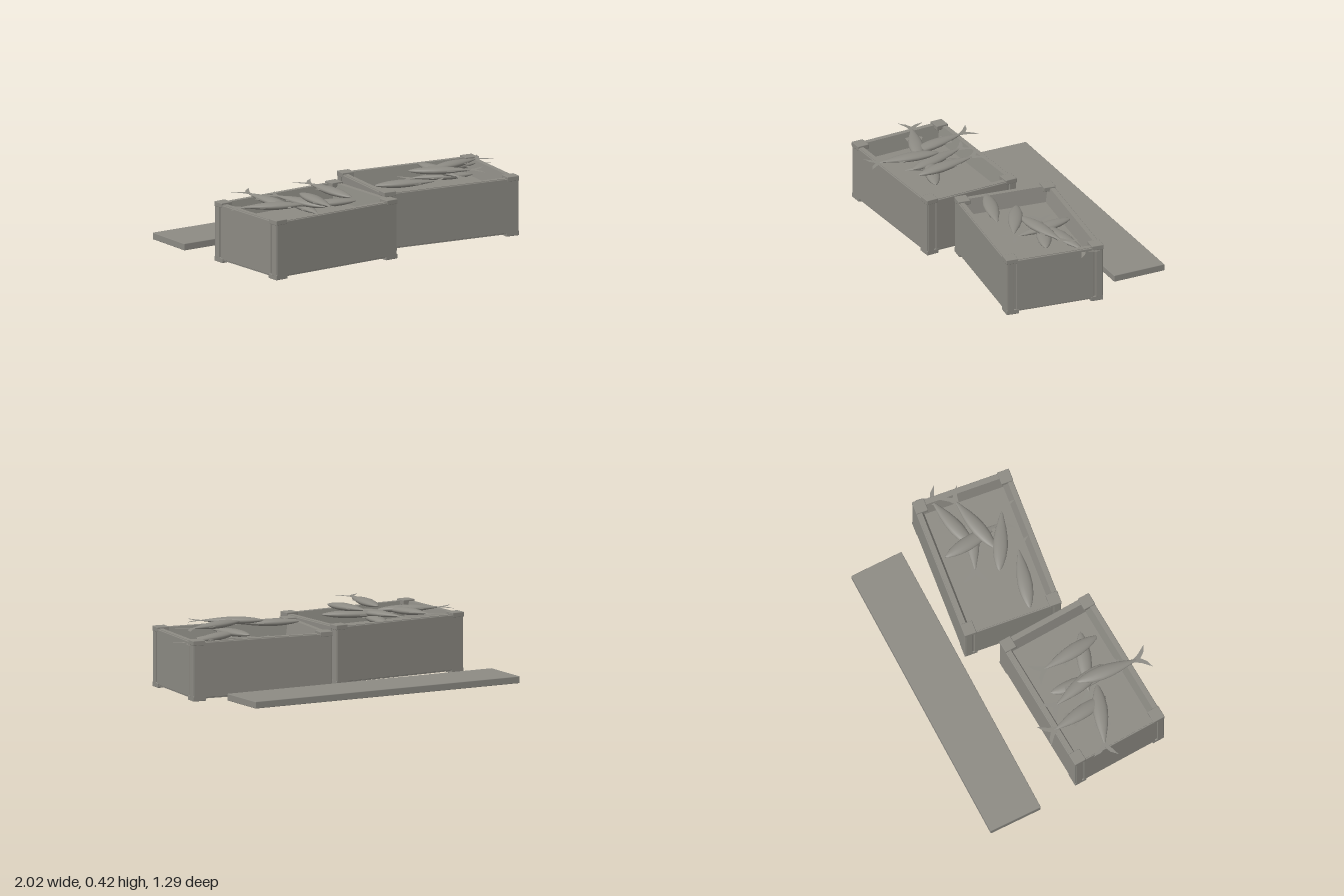
import * as THREE from 'three';
import { RoundedBoxGeometry } from 'three/addons/geometries/RoundedBoxGeometry.js';

const wood = new THREE.MeshStandardMaterial({ color: 0x8c8a83 });
wood.name = 'weathered grey';
const fishSkin = new THREE.MeshStandardMaterial({ color: 0x8c8a83, side: THREE.DoubleSide });
fishSkin.name = 'fish grey';

function block(parent, name, w, h, d, x, y, z, bevel = 0.004) {
  const mesh = new THREE.Mesh(new RoundedBoxGeometry(w, h, d, 1, bevel), wood);
  mesh.name = name;
  mesh.position.set(x, y, z);
  parent.add(mesh);
}

// Skin of stacked rectangles [halfX, y, halfZ], with flat faces.
function rectLoops(loops) {
  const pos = [];
  const corner = ([hx, y, hz], i) => [[hx, y, hz], [hx, y, -hz], [-hx, y, -hz], [-hx, y, hz]][i % 4];
  for (let k = 0; k < loops.length - 1; k++) {
    for (let i = 0; i < 4; i++) {
      const a = corner(loops[k], i), b = corner(loops[k], i + 1);
      const c = corner(loops[k + 1], i + 1), d = corner(loops[k + 1], i);
      pos.push(...a, ...b, ...c, ...a, ...c, ...d);
    }
  }
  const geo = new THREE.BufferGeometry();
  geo.setAttribute('position', new THREE.Float32BufferAttribute(pos, 3));
  geo.computeVertexNormals();
  return geo;
}

function makeCrate(name, x, z, angle) {
  const crate = new THREE.Group();
  crate.name = name;
  // Open tub with inner walls sloping to a raised floor
  const tub = new THREE.Mesh(rectLoops([
    [0, 0.024, 0], [0.425, 0.024, 0.28], [0.425, 0.014, 0.28], [0.442, 0.014, 0.3],
    [0.442, 0.355, 0.3], [0.412, 0.355, 0.272], [0.39, 0.26, 0.25], [0, 0.26, 0],
  ]), wood);
  tub.name = 'tub';
  crate.add(tub);
  for (const s of [-1, 1]) {
    block(crate, 'longPanel', 0.892, 0.332, 0.012, 0, 0.186, s * 0.3);
    block(crate, 'endPanel', 0.014, 0.332, 0.49, s * 0.442, 0.186, 0);
    for (const t of [-1, 1]) {
      block(crate, 'cornerSlat', 0.016, 0.325, 0.042, s * 0.443, 0.184, t * 0.279);
      block(crate, 'cornerCap', 0.08, 0.03, 0.075, s * 0.412, 0.35, t * 0.27);
      block(crate, 'foot', 0.085, 0.03, 0.08, s * 0.408, 0.015, t * 0.266);
    }
  }
  crate.position.set(x, 0, z);
  crate.rotation.y = angle;
  return crate;
}

// Fish pointing from head (z = 0) to tail (z = 0.46), lying on its side
const bodyProfile = [[0, 0], [0.012, 0.012], [0.026, 0.045], [0.038, 0.09], [0.045, 0.15],
  [0.042, 0.21], [0.032, 0.27], [0.018, 0.325], [0.008, 0.365], [0, 0.38]]
  .map(([r, y]) => new THREE.Vector2(r, y));
const bodyGeo = new THREE.LatheGeometry(bodyProfile, 16);
bodyGeo.scale(1, 1, 0.5).rotateX(Math.PI / 2);

function finGeo(points) {
  const shape = new THREE.Shape(points.map(([x, y]) => new THREE.Vector2(x, y)));
  return new THREE.ShapeGeometry(shape).rotateX(Math.PI / 2);
}
const tailGeo = finGeo([[-0.008, 0.355], [0.008, 0.355], [0.03, 0.4], [0.075, 0.455],
  [0.03, 0.435], [0, 0.405], [-0.03, 0.435], [-0.075, 0.455], [-0.03, 0.4]]);
const backFinGeo = finGeo([[0.036, 0.2], [0.055, 0.262], [0.028, 0.275]]);
const bellyFinGeo = finGeo([[-0.035, 0.21], [-0.052, 0.268], [-0.024, 0.285]]);

function makeFish([hx, hy, hz], [tx, ty, tz]) {
  const fish = new THREE.Group();
  fish.name = 'fish';
  const parts = { fishBody: bodyGeo, tailFin: tailGeo, backFin: backFinGeo, bellyFin: bellyFinGeo };
  for (const [name, geo] of Object.entries(parts)) {
    const mesh = new THREE.Mesh(geo, fishSkin);
    mesh.name = name;
    fish.add(mesh);
  }
  fish.position.set(hx, hy, hz);
  fish.lookAt(tx, ty, tz);
  return fish;
}

export function createModel() {
  const model = new THREE.Group();
  model.name = 'fishCrates';
  model.add(makeCrate('rightCrate', -0.49, 0.22, 0.05));
  model.add(makeCrate('leftCrate', 0.48, 0.083, -0.118));

  // Loose plank behind the crates
  block(model, 'plank', 1.815, 0.042, 0.335, -0.0925, 0.037, -0.4825);

  // Head and tail position of every fish
  const catchOfFish = [
    [[-0.505, 0.4, 0.18], [-0.55, 0.402, 0.64]],
    [[-0.3, 0.395, 0.42], [-0.355, 0.412, -0.03]],
    [[-0.56, 0.36, 0.285], [-0.98, 0.366, 0.13]],
    [[-0.65, 0.355, 0.3], [-0.715, 0.38, -0.14]],
    [[-0.215, 0.35, 0.35], [-0.64, 0.34, 0.2]],
    [[-0.46, 0.35, 0.38], [-0.58, 0.36, -0.04]],
    [[-0.47, 0.325, 0.02], [-0.53, 0.32, 0.45]],
    [[0.33, 0.4, 0.09], [0.74, 0.4, 0.32]],
    [[0.05, 0.362, 0.15], [0.48, 0.362, 0.28]],
    [[0.565, 0.365, -0.15], [0.62, 0.35, 0.3]],
    [[0.47, 0.4, 0.135], [0.91, 0.396, 0.045]],
    [[0.55, 0.355, 0.03], [0.99, 0.335, -0.07]],
    [[0.78, 0.325, 0.12], [0.43, 0.32, -0.02]],
  ];
  for (const [head, tail] of catchOfFish) model.add(makeFish(head, tail));
  return model;
}
